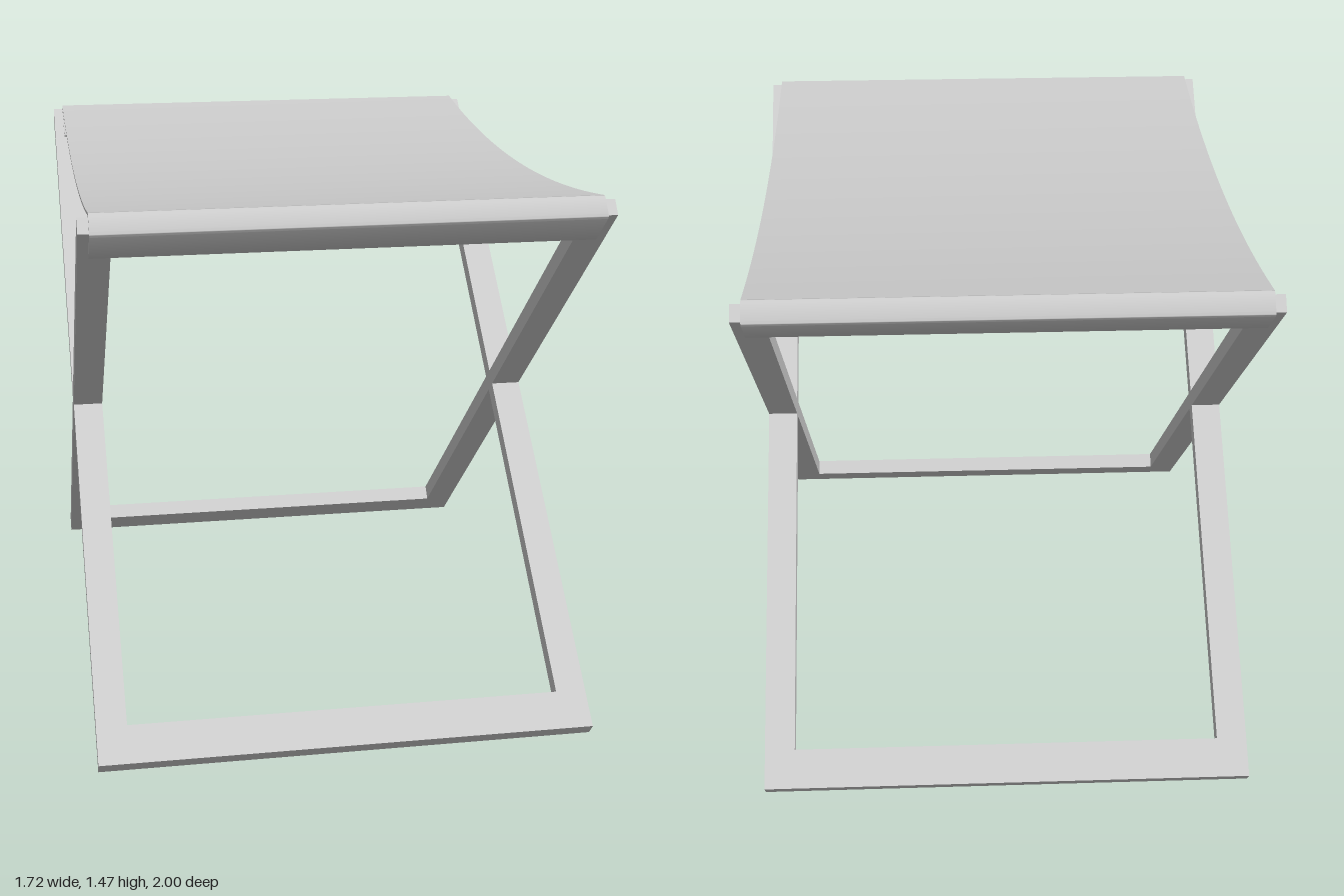
import * as THREE from 'three';
import { toCreasedNormals } from 'three/addons/utils/BufferGeometryUtils.js';

const WIDTH = 1.32, LENGTH = 2.185, THICK = 0.045; // one leg frame
const SIDE = 0.081, RAIL = 0.105;                  // bar widths
const TILT = 0.71;                                 // slope of a frame
const CLOTH = 0.01, CLOTH_WIDTH = 1.265;

const material = new THREE.MeshStandardMaterial({ color: 0xcccccc });

function mesh(name, geometry) {
  const m = new THREE.Mesh(geometry, material);
  m.name = name;
  return m;
}

// Extrudes a shape centred on its own depth axis
function slab(shape, depth) {
  const g = new THREE.ExtrudeGeometry(shape, { depth, bevelEnabled: false, curveSegments: 8 });
  return g.translate(0, 0, -depth / 2);
}

function rectangle(path, x, y) {
  path.moveTo(-x, -y).lineTo(x, -y).lineTo(x, y).lineTo(-x, y).closePath();
  return path;
}

// Profile (z, y) extruded across the width of the stool, along x
function across(shape) {
  const g = slab(shape, CLOTH_WIDTH).rotateY(-Math.PI / 2);
  return toCreasedNormals(g, 0.6);
}

// Rectangular leg frame with one open centre
function legFrame() {
  const shape = rectangle(new THREE.Shape(), WIDTH / 2, LENGTH / 2);
  shape.holes.push(rectangle(new THREE.Path(), WIDTH / 2 - SIDE, LENGTH / 2 - RAIL));
  return mesh('legFrame', slab(shape, THICK));
}

// Cloth hem wrapped round the top rail: a rail section with rounded corners
function sleeve() {
  const z = THICK / 2, top = LENGTH / 2, low = top - RAIL, q = Math.PI / 2;
  const s = new THREE.Shape();
  s.absarc(z, top, CLOTH, 0, q);
  s.absarc(-z, top, CLOTH, q, 2 * q);
  s.absarc(-z, low, CLOTH, 2 * q, 3 * q);
  s.absarc(z, low, CLOTH, 3 * q, 4 * q);
  s.closePath();
  return mesh('sleeve', across(s));
}

// Sagging sling between the two sleeves
function seat() {
  const half = 0.8, n = 32, upper = [], lower = [];
  for (let i = 0; i <= n; i++) {
    const u = (i / n) * 2 - 1;
    const y = 1.408 + 0.062 * u * u;
    upper.push(new THREE.Vector2(u * half, y));
    lower.unshift(new THREE.Vector2(u * half, y - 0.007));
  }
  return mesh('seat', across(new THREE.Shape([...upper, ...lower])));
}

export function createModel() {
  const model = new THREE.Group();
  model.name = 'foldingStool';

  const stool = new THREE.Group();
  stool.name = 'stool';
  stool.rotation.y = -Math.PI / 12;
  model.add(stool);

  // Two identical frames cross, each carrying a sleeve on its top rail
  ['frontFootFrame', 'backFootFrame'].forEach((name, i) => {
    const turn = new THREE.Group();
    turn.name = name;
    turn.rotation.y = i * Math.PI;
    const tilted = new THREE.Group();
    tilted.name = 'tiltedFrame';
    tilted.position.set(0, 0.73, 0.014);
    tilted.rotation.x = TILT - Math.PI / 2;
    tilted.add(legFrame(), sleeve());
    turn.add(tilted);
    stool.add(turn);
  });

  stool.add(seat());
  return model;
}
